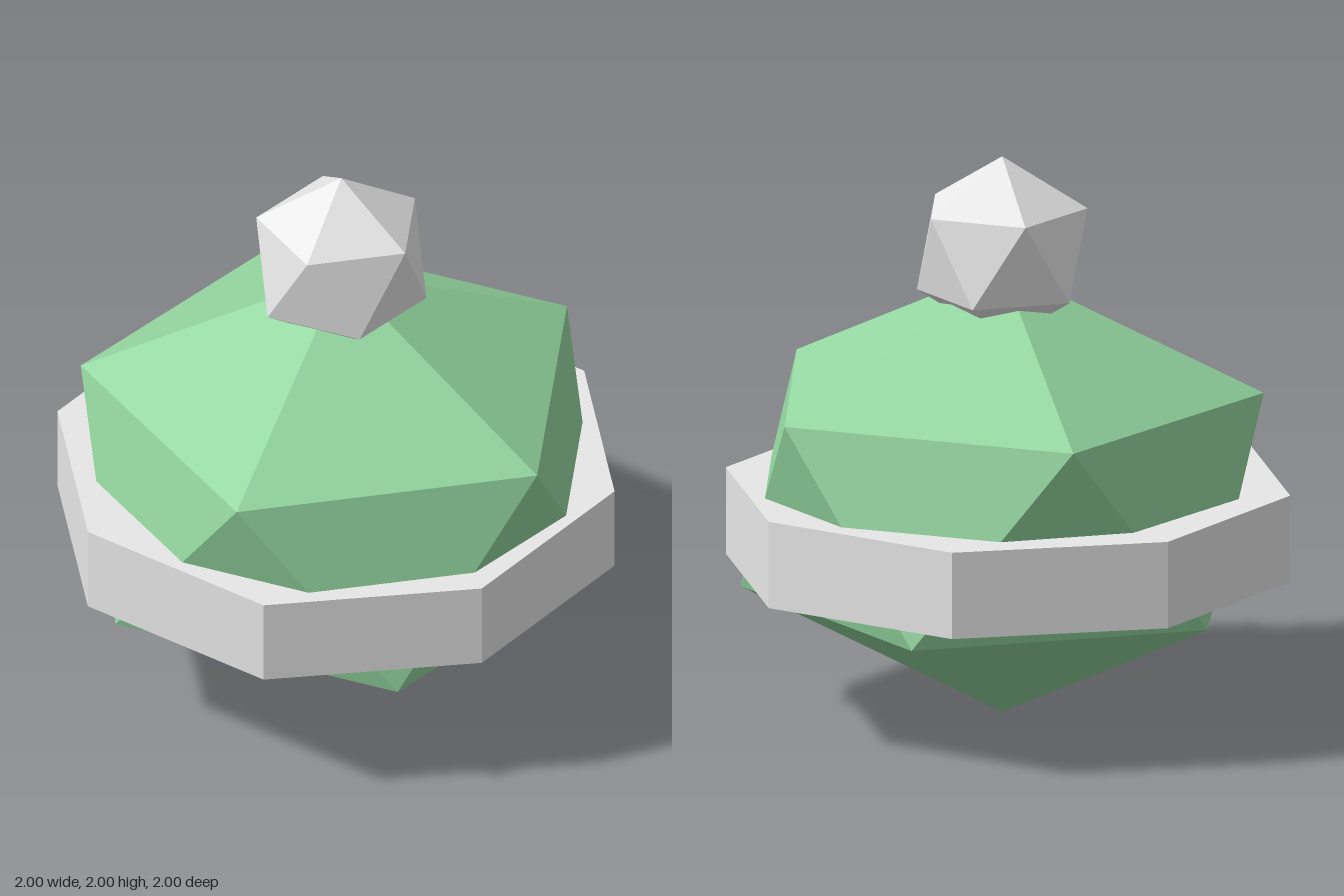
import * as THREE from 'three';
import { ConvexGeometry } from 'three/addons/geometries/ConvexGeometry.js';

const green = new THREE.MeshStandardMaterial({ color: 0x93d59f });
green.name = 'soft green';
const grey = new THREE.MeshStandardMaterial({ color: 0xe7e7e7 });
grey.name = 'light grey';

// Icosahedron standing on a corner: two poles and two staggered rings of five
function icosahedron(radius, height) {
  const points = [new THREE.Vector3(0, height, 0), new THREE.Vector3(0, -height, 0)];
  const ring = 2 / Math.sqrt(5), level = 1 / Math.sqrt(5);
  for (let i = 0; i < 5; i++) {
    const a = (i * 2 * Math.PI) / 5;
    const x = Math.cos(a) * ring * radius, z = Math.sin(a) * ring * radius;
    points.push(new THREE.Vector3(x, level * height, z));
    points.push(new THREE.Vector3(-x, -level * height, -z));
  }
  return new ConvexGeometry(points);
}

export function createModel() {
  const model = new THREE.Group();
  model.name = 'ornament';

  function add(name, geometry, material, y, z) {
    const mesh = new THREE.Mesh(geometry, material);
    mesh.name = name;
    mesh.position.set(0, y, z);
    model.add(mesh);
  }

  // Squashed faceted body
  add('body', icosahedron(1.017, 0.798), green, 0.798, 0.036);
  // Small faceted ball on top
  add('topBall', icosahedron(0.332, 0.332), grey, 1.663, 0.036);
  // Eight-sided band around the middle
  const band = new THREE.CylinderGeometry(1, 1, 0.31, 8).toNonIndexed();
  band.computeVertexNormals();
  add('band', band, grey, 0.68, 0);

  return model;
}
